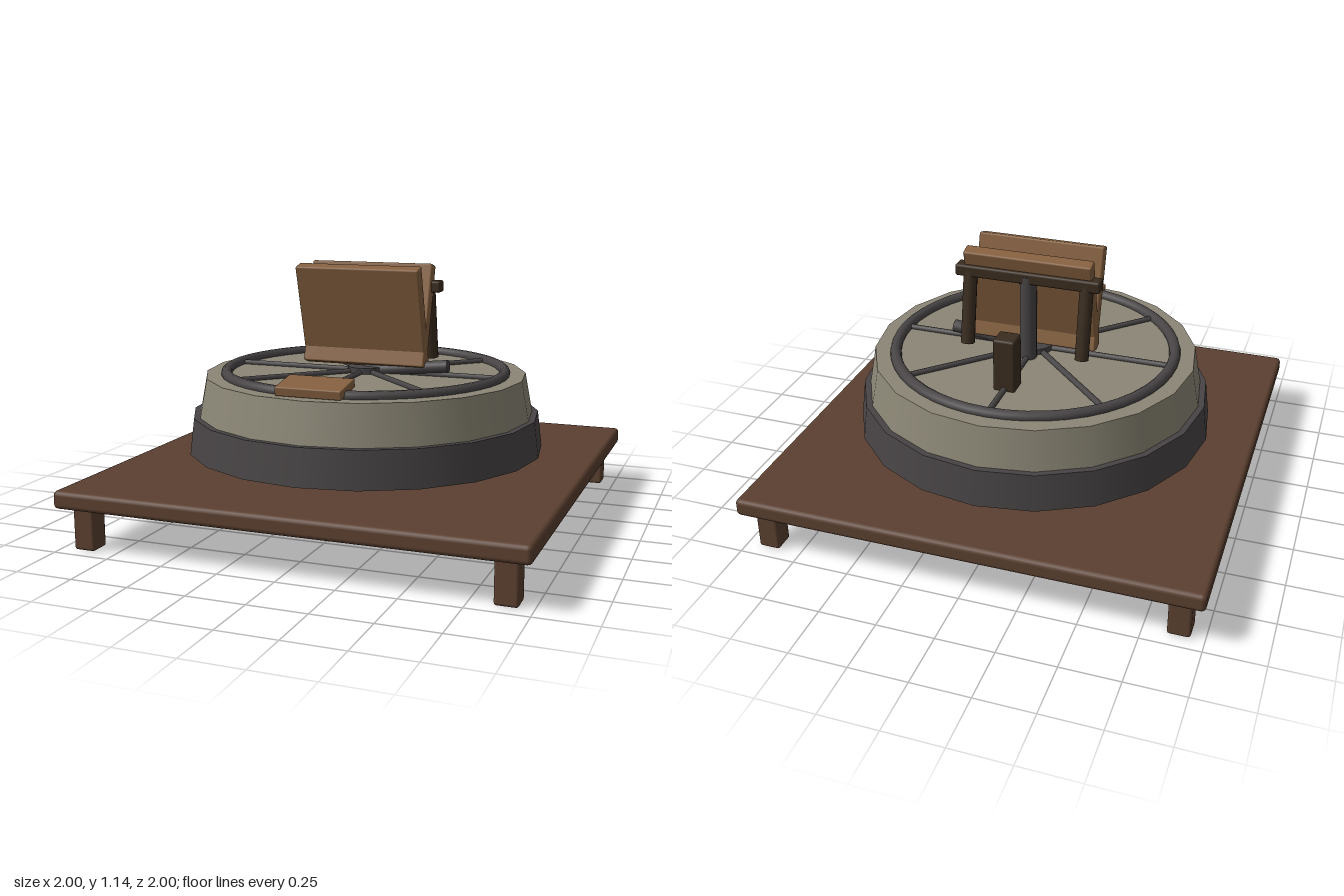
import * as THREE from 'three';
import { RoundedBoxGeometry } from 'three/addons/geometries/RoundedBoxGeometry.js';

const mat = (name, color) => {
  const m = new THREE.MeshStandardMaterial({ color });
  m.name = name;
  return m;
};

export function createModel() {
  const root = new THREE.Group();
  root.name = 'millstone';
  const tableWood = mat('table wood', 0x5c4030);
  const plankWood = mat('plank wood', 0x85603f);
  const darkWood = mat('dark wood', 0x3a2d20);
  const stone = mat('stone', 0x8b8675);
  const iron = mat('dark iron', 0x484445);

  const add = (name, geometry, material, x = 0, y = 0, z = 0) => {
    const mesh = new THREE.Mesh(geometry, material);
    mesh.name = name;
    mesh.position.set(x, y, z);
    root.add(mesh);
    return mesh;
  };
  const box = (name, material, w, h, d, r, x, y, z) =>
    add(name, new RoundedBoxGeometry(w, h, d, 2, r), material, x, y, z);

  // Round bar between two points
  const bar = (name, material, radius, from, to, sides = 12) => {
    const a = new THREE.Vector3(...from), b = new THREE.Vector3(...to);
    const dir = b.clone().sub(a);
    const mesh = add(name, new THREE.CylinderGeometry(radius, radius, dir.length(), sides), material);
    mesh.position.copy(a).add(b).multiplyScalar(0.5);
    mesh.quaternion.setFromUnitVectors(new THREE.Vector3(0, 1, 0), dir.normalize());
    return mesh;
  };

  // Table
  box('tableTop', tableWood, 2, 0.077, 2, 0.02, 0, 0.223, 0);
  for (const x of [-0.895, 0.895])
    for (const z of [-0.895, 0.895])
      box('tableLeg', tableWood, 0.095, 0.188, 0.095, 0.012, x, 0.094, z);

  // Two stacked stones, raised above the table
  add('lowerStone', new THREE.CylinderGeometry(0.78, 0.8, 0.16, 20), iron, 0, 0.402, 0);
  add('upperStone', new THREE.CylinderGeometry(0.72, 0.753, 0.175, 20), stone, 0, 0.5685, 0);

  // Iron rim, hub and spokes
  const rim = add('rim', new THREE.TorusGeometry(0.625, 0.025, 10, 48), iron, 0, 0.663, 0);
  rim.rotation.x = Math.PI / 2;
  add('hub', new THREE.CylinderGeometry(0.08, 0.08, 0.03, 20), iron, 0, 0.668, 0);
  for (let i = 0; i < 8; i++) {
    const a = i * Math.PI / 4;
    bar('spoke', iron, 0.0135, [0, 0.662, 0], [Math.cos(a) * 0.62, 0.662, Math.sin(a) * 0.62], 8);
  }
  bar('handle', iron, 0.028, [0, 0.662, 0], [0.388, 0.703, 0]);

  // Two crossed planks
  for (const s of [1, -1]) {
    const plank = box('crossedPlank', plankWood, 0.572, 0.463, 0.058, 0.008, 0, 0.915, s * 0.042);
    plank.rotation.x = s * 0.27;
  }

  // Rear frame: leaning posts, crossbar and central iron post
  for (const x of [-0.262, 0.262])
    bar('rearPost', darkWood, 0.031, [x, 1.045, -0.1], [x, 0.715, -0.16]);
  box('crossbar', darkWood, 0.65, 0.052, 0.065, 0.01, 0, 1.043, -0.098);
  bar('centrePost', iron, 0.037, [0, 0.65, -0.097], [0, 1.05, -0.097], 16);

  // Rear block and sloping front plate
  box('rearBlock', darkWood, 0.095, 0.24, 0.095, 0.01, 0, 0.77, -0.378);
  const plate = box('frontPlate', plankWood, 0.29, 0.04, 0.16, 0.006, 0, 0.689, 0.588);
  plate.rotation.x = 0.17;

  return root;
}
